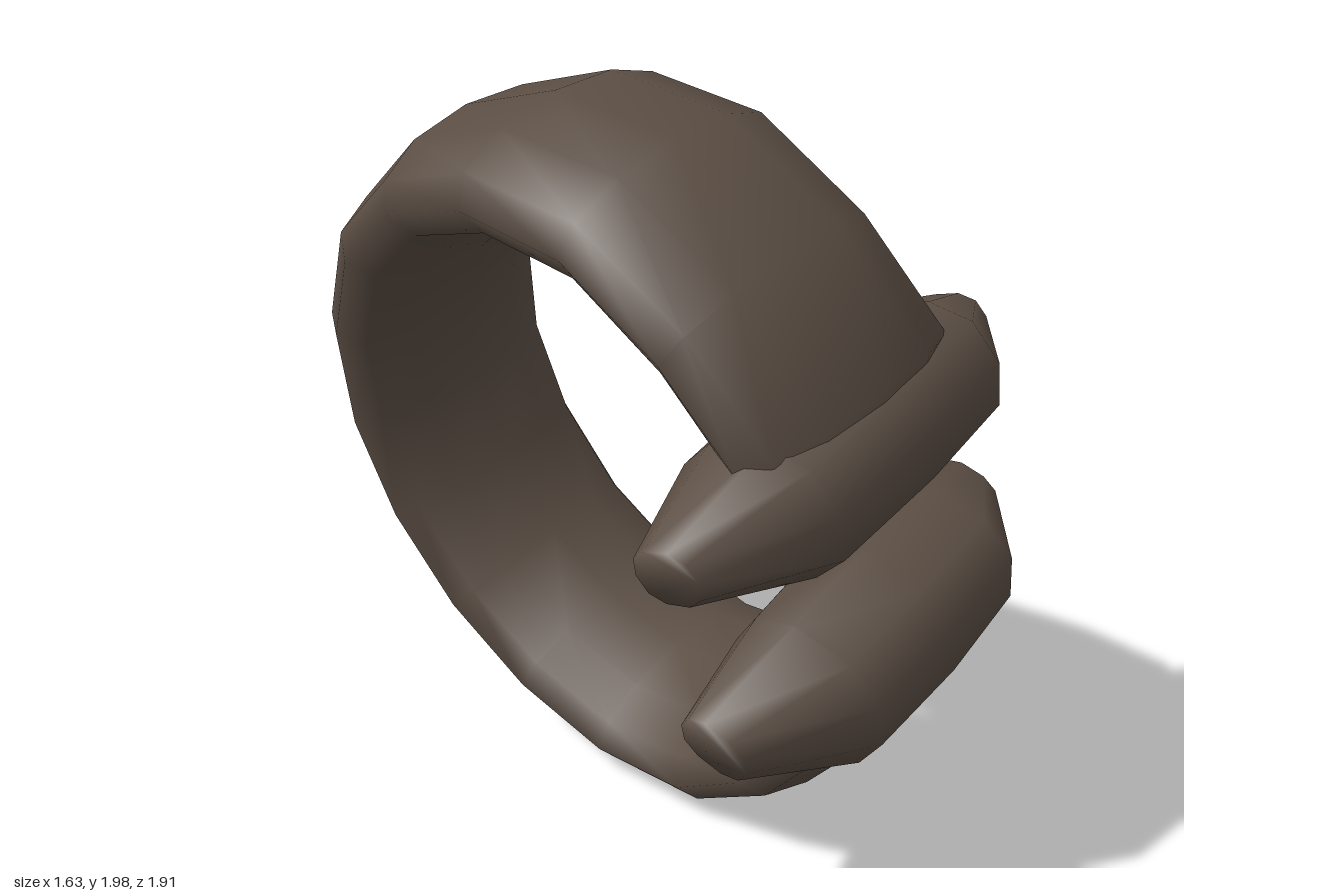
import * as THREE from 'three';

const V = (x, y, z) => new THREE.Vector3(x, y, z);

// Skin a list of sections { c, a, b }: centre and two half-axis vectors
// (a x b points along the sweep). The ends are closed and smoothly shaded.
function loft(sections, sides, power) {
  const pos = [], idx = [];
  const soft = (v) => Math.sign(v) * Math.pow(Math.abs(v), power);
  sections.forEach((s) => {
    for (let j = 0; j < sides; j++) {
      const t = (j / sides) * Math.PI * 2;
      const p = s.c.clone().addScaledVector(s.a, soft(Math.cos(t))).addScaledVector(s.b, soft(Math.sin(t)));
      pos.push(p.x, p.y, p.z);
    }
  });
  const last = (sections.length - 1) * sides;
  for (let p = 0; p < last; p += sides) {
    for (let j = 0; j < sides; j++) {
      const k = (j + 1) % sides, q = p + sides;
      idx.push(p + j, p + k, q + k, p + j, q + k, q + j);
    }
  }
  for (let j = 1; j < sides - 1; j++) {
    idx.push(0, j + 1, j, last, last + j, last + j + 1);
  }
  const g = new THREE.BufferGeometry();
  g.setAttribute('position', new THREE.Float32BufferAttribute(pos, 3));
  g.setIndex(idx);
  g.computeVertexNormals();
  return g;
}

// Group whose local z runs against the given axis and whose local x faces the front
function leaningGroup(name, axis, centre) {
  const side = axis.clone().normalize().negate();
  const front = V(0, 1, 0).cross(side).normalize();
  const up = side.clone().cross(front);
  const g = new THREE.Group();
  g.name = name;
  g.applyMatrix4(new THREE.Matrix4().makeBasis(front, up, side));
  g.position.copy(centre);
  return g;
}

export function createModel() {
  const group = new THREE.Group();
  const bronze = new THREE.MeshStandardMaterial({ color: 0x5a4d43 });
  bronze.name = 'darkBronze';
  const add = (parent, name, geometry) => {
    const mesh = new THREE.Mesh(geometry, bronze);
    mesh.name = name;
    parent.add(mesh);
  };

  // Band: an open hoop with a wide oval section, slightly drawn in towards its
  // ends, which narrow and disappear inside the end bars
  const R = 0.855, thick = 0.145, wide = 0.345, steps = 14, pull = 0.06;
  const from = THREE.MathUtils.degToRad(27), to = THREE.MathUtils.degToRad(327);
  const hoop = (t, r, k) => {
    const out = V(Math.cos(t), Math.sin(t), 0);
    return {
      c: out.clone().multiplyScalar(r),
      a: out.clone().multiplyScalar(thick * k),
      b: V(0, 0, -wide * k),
    };
  };
  const band = [hoop(from - 0.2, 0.7, 0.8)];
  for (let i = 0; i <= steps; i++) {
    const t = from + ((to - from) * i) / steps;
    const nearEnd = 1 - THREE.MathUtils.smoothstep(Math.min(t - from, to - t), 0.2, 0.9);
    band.push(hoop(t, R - pull * nearEnd, 1));
  }
  band.push(hoop(to + 0.16, 0.7, 0.8));
  const ring = leaningGroup('openRing', V(0.86, 0.27, -0.44), V(-0.07, 1, 0.01));
  add(ring, 'band', loft(band, 12, 0.97));

  // End bars: crosspieces tapering to small blunt tips on both sides of the band
  const bars = leaningGroup('endBars', V(0.82, 0.27, -0.5), V(-0.07, 1, 0));
  const endBar = (name, along, mid, tip, tilt, depth, height) => {
    const ca = Math.cos(tilt), sa = Math.sin(tilt);
    const station = (s, [x, y], d, h) => ({
      c: V(x, y, s),
      a: V(ca * d, sa * d, 0),
      b: V(-sa * h, ca * h, 0),
    });
    const [tipA, bodyA, centre, bodyB, tipB] = along;
    add(bars, name, loft([
      station(tipA, tip, 0.095, 0.07),
      station(bodyA, mid, depth * 0.94, height * 0.96),
      station(centre, mid, depth, height),
      station(bodyB, mid, depth * 0.94, height * 0.96),
      station(tipB, tip, 0.095, 0.07),
    ], 10, 0.85));
  };
  endBar('upperEndBar', [-0.56, -0.31, 0, 0.33, 0.59], [0.67, 0.255], [0.61, 0.235], 0.25, 0.235, 0.18);
  endBar('lowerEndBar', [-0.56, -0.33, -0.03, 0.27, 0.56], [0.655, -0.33], [0.6, -0.295], -0.38, 0.23, 0.2);

  group.add(ring, bars);
  return group;
}
